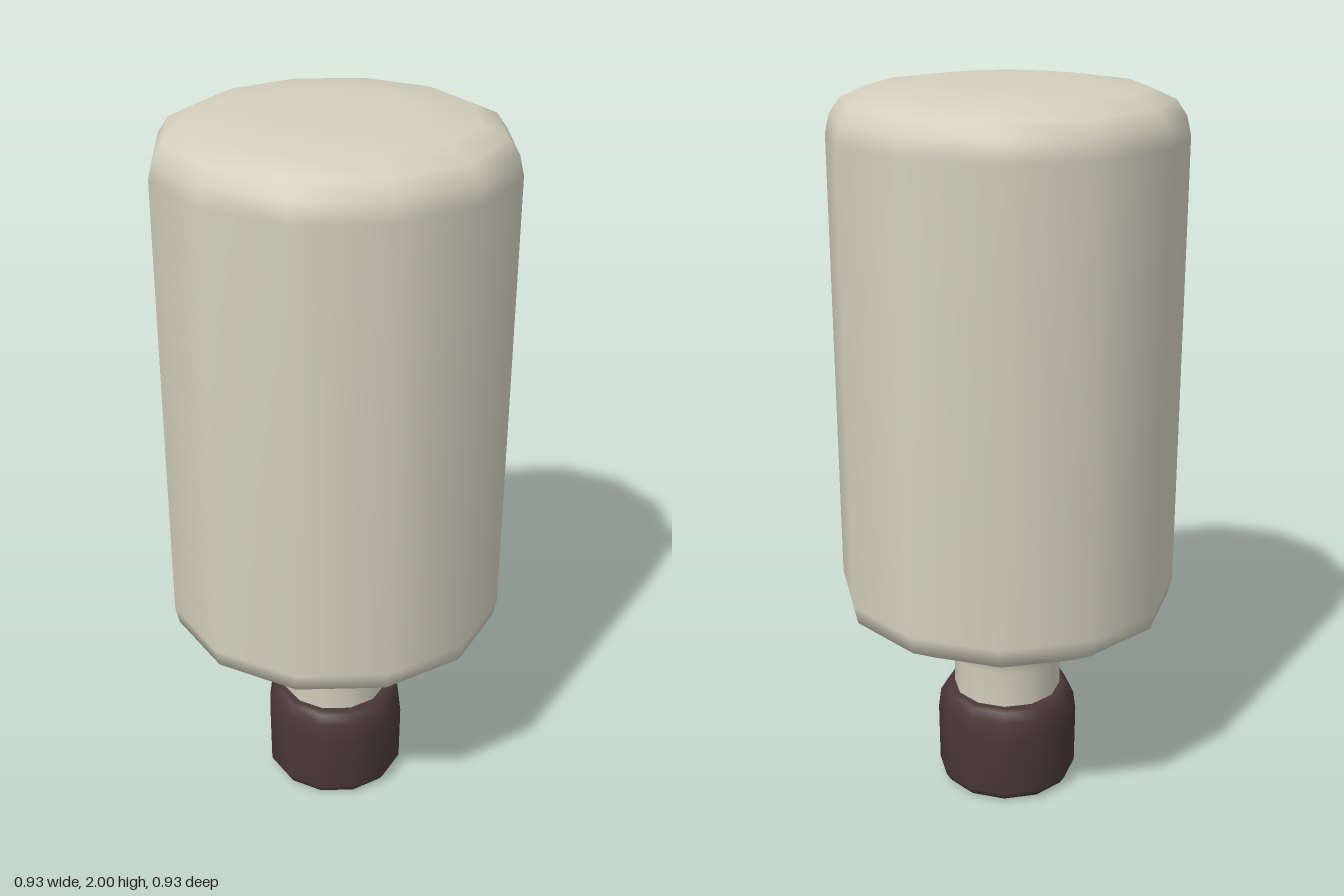
import * as THREE from 'three';

const SIDES = 12;

// Smooth twelve-sided turned part, profile listed as [radius, height] from bottom to top
function turned(name, profile, material) {
  const points = profile.map(([r, y]) => new THREE.Vector2(r, y));
  const mesh = new THREE.Mesh(new THREE.LatheGeometry(points, SIDES), material);
  mesh.name = name;
  return mesh;
}

export function createModel() {
  const ivory = new THREE.MeshStandardMaterial({ color: 0xd2cfbd });
  ivory.name = 'ivory bottle';
  const brown = new THREE.MeshStandardMaterial({ color: 0x4a3737 });
  brown.name = 'dark brown cap';

  const group = new THREE.Group();
  group.name = 'invertedBottle';

  // Bottle: neck, flared shoulder, straight wall, rounded base on top
  group.add(turned('bottle', [
    [0.152, 0.25], [0.152, 0.39], [0.165, 0.45], [0.2, 0.487],
    [0.36, 0.525], [0.455, 0.58], [0.466, 0.63],
    [0.467, 1.86], [0.455, 1.91], [0.427, 1.95], [0.36, 1.98],
    [0.2, 2.0], [0, 2.0],
  ], ivory));

  // Cap: flat underside, straight grip, rounded upper rim closing on the neck
  group.add(turned('cap', [
    [0, 0], [0.165, 0], [0.183, 0.006], [0.198, 0.03],
    [0.2, 0.2], [0.193, 0.255], [0.178, 0.281], [0.165, 0.287], [0.14, 0.287],
  ], brown));

  return group;
}
